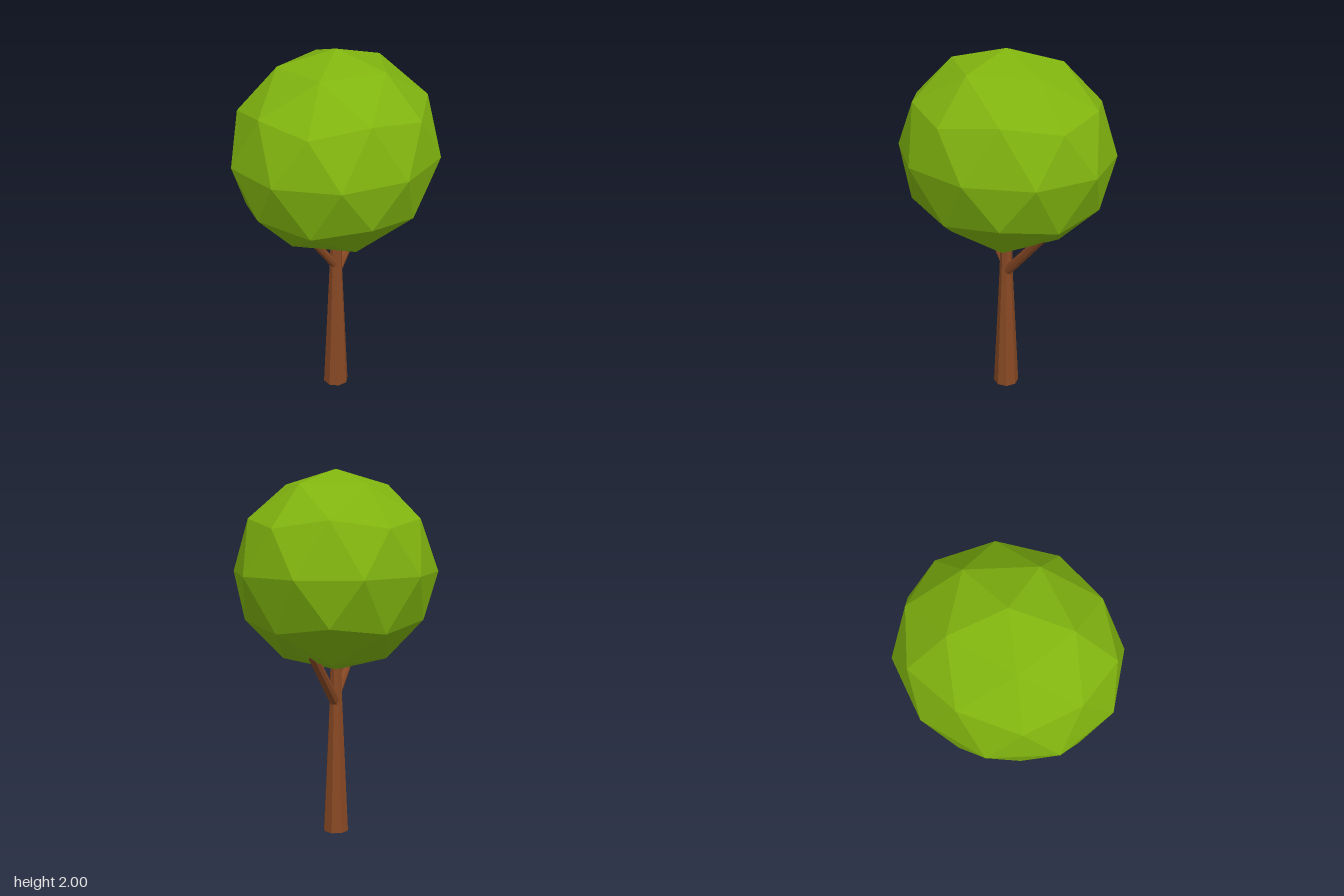
import * as THREE from 'three';

const bark = new THREE.MeshStandardMaterial({ color: 0x874824, flatShading: true });
bark.name = 'bark brown';
const leaf = new THREE.MeshStandardMaterial({ color: 0x80b40f, flatShading: true });
leaf.name = 'leaf green';

const TURN = 0.2; // the whole tree is turned slightly about its axis

function addMesh(group, name, geometry, material) {
  const mesh = new THREE.Mesh(geometry, material);
  mesh.name = name;
  group.add(mesh);
  return mesh;
}

// Tapered branch between two points
function addBranch(group, name, from, to, r0, r1) {
  const a = new THREE.Vector3(...from);
  const b = new THREE.Vector3(...to);
  const dir = b.clone().sub(a);
  const mesh = addMesh(group, name, new THREE.CylinderGeometry(r1, r0, dir.length(), 8), bark);
  mesh.position.copy(a).add(b).multiplyScalar(0.5);
  mesh.quaternion.setFromUnitVectors(new THREE.Vector3(0, 1, 0), dir.normalize());
}

export function createModel() {
  const tree = new THREE.Group();
  tree.name = 'tree';

  // Trunk: tapers up to the fork, then stays slender inside the crown
  const profile = [[0, 0], [0.072, 0], [0.036, 0.76], [0.03, 1.1], [0, 1.1]]
    .map(([r, y]) => new THREE.Vector2(r, y));
  addMesh(tree, 'trunk', new THREE.LatheGeometry(profile, 8), bark).rotation.y = TURN;

  // Two branches forking into the crown
  addBranch(tree, 'leftBranch', [0, 0.73, 0], [0.29, 1.05, -0.03], 0.029, 0.025);
  addBranch(tree, 'rightBranch', [0, 0.77, 0], [-0.24, 1.05, 0.01], 0.024, 0.02);

  // Crown: faceted ball with a corner at the top, squashed unevenly
  const crown = new THREE.IcosahedronGeometry(1, 1);
  crown.rotateZ(Math.atan(2 / (1 + Math.sqrt(5))));
  crown.rotateY(Math.PI / 10);
  crown.scale(0.6, 0.54, 0.546);
  crown.rotateY(TURN);
  crown.translate(0, 1.46, 0);
  addMesh(tree, 'crown', crown, leaf);

  return tree;
}
